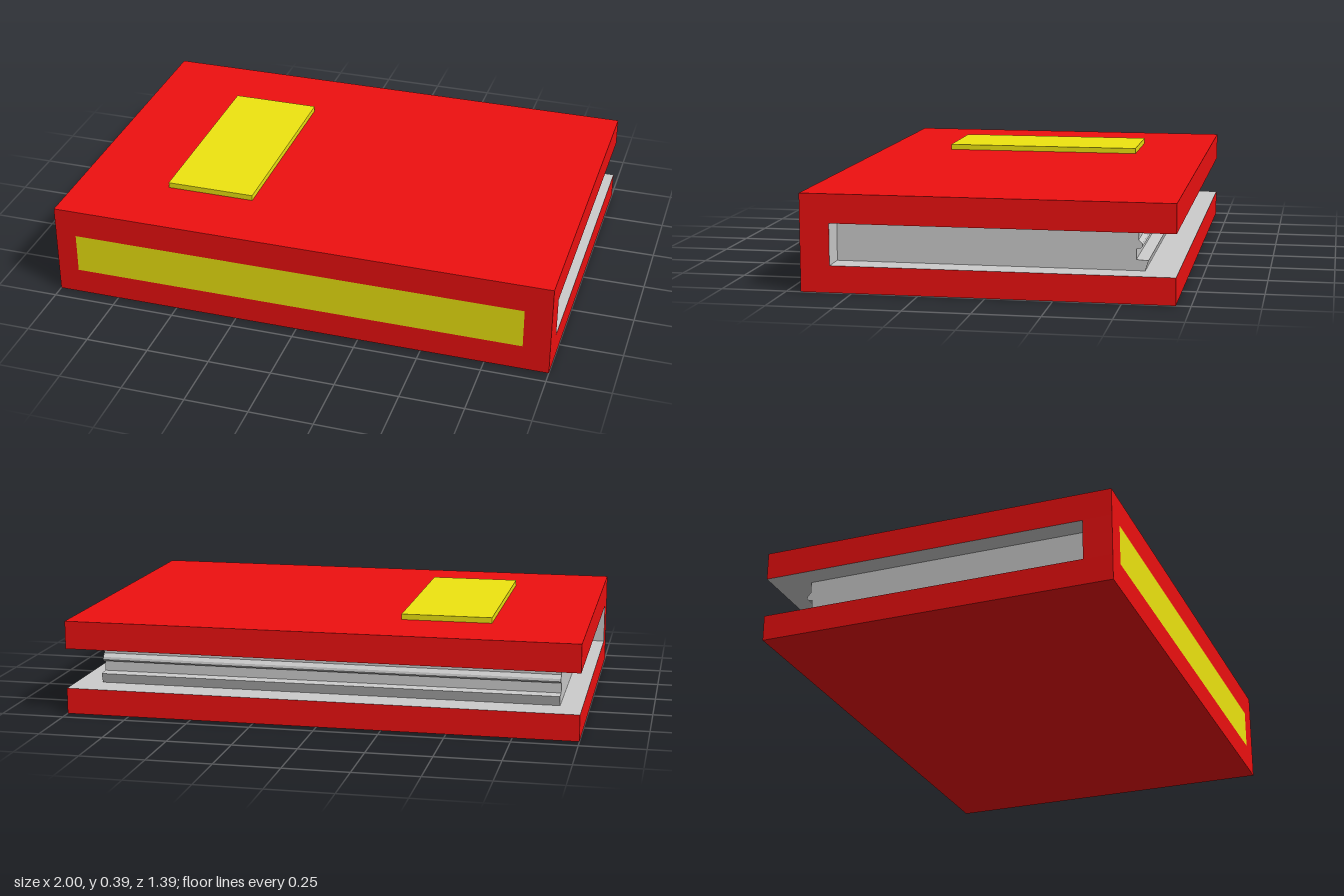
import * as THREE from 'three';

export function createModel() {
  const book = new THREE.Group();
  book.name = 'book';
  const grey = new THREE.MeshStandardMaterial({ color: 0xcccccc });
  const red = new THREE.MeshStandardMaterial({ color: 0xee1010 });
  const yellow = new THREE.MeshStandardMaterial({ color: 0xeee510 });

  // Box given by its limits; one face may carry a lining material
  // (face order: +x, -x, +y, -y, +z, -z)
  function box(name, [x0, x1], [y0, y1], [z0, z1], material, liningFace = -1) {
    const geometry = new THREE.BoxGeometry(x1 - x0, y1 - y0, z1 - z0);
    const materials = Array.from({ length: 6 }, (_, i) => (i === liningFace ? grey : material));
    const mesh = new THREE.Mesh(geometry, liningFace < 0 ? material : materials);
    mesh.name = name;
    mesh.position.set((x0 + x1) / 2, (y0 + y1) / 2, (z0 + z1) / 2);
    book.add(mesh);
  }

  const width = [-1, 1];
  const depth = [-0.695, 0.695];
  const bottom = 0.102, top = 0.26, height = 0.37, spineBack = 0.583;
  const left = 0.895, right = -0.915;

  // Cover: two boards and a spine, lined in grey on the inside
  box('backCover', width, [0, bottom], depth, red, 2);
  box('frontCover', width, [top, height], depth, red, 3);
  box('spine', width, [bottom, top], [spineBack, depth[1]], red, 5);

  // Labels on the front cover and on the spine
  box('coverLabel', [-0.63, -0.275], [height, 0.392], [-0.398, 0.405], yellow);
  const spineLabel = new THREE.Mesh(new THREE.PlaneGeometry(left - right, top - bottom), yellow);
  spineLabel.name = 'spineLabel';
  spineLabel.position.set((left + right) / 2, (top + bottom) / 2, depth[1] + 0.001);
  book.add(spineLabel);

  // Page block: side profile (-z, y) with an uneven fore edge
  const profile = [
    [-spineBack, bottom], [0.573, bottom], [0.585, 0.14], [0.54, 0.143], [0.54, 0.181],
    [0.556, 0.185], [0.563, 0.192], [0.561, 0.202], [0.548, 0.216], [0.548, top], [-spineBack, top],
  ].map(([a, b]) => new THREE.Vector2(a, b));
  const pagesGeometry = new THREE.ExtrudeGeometry(new THREE.Shape(profile), {
    depth: left - right, bevelEnabled: false,
  });
  pagesGeometry.rotateY(Math.PI / 2);
  const pages = new THREE.Mesh(pagesGeometry, grey);
  pages.name = 'pages';
  pages.position.x = right;
  book.add(pages);

  return book;
}
